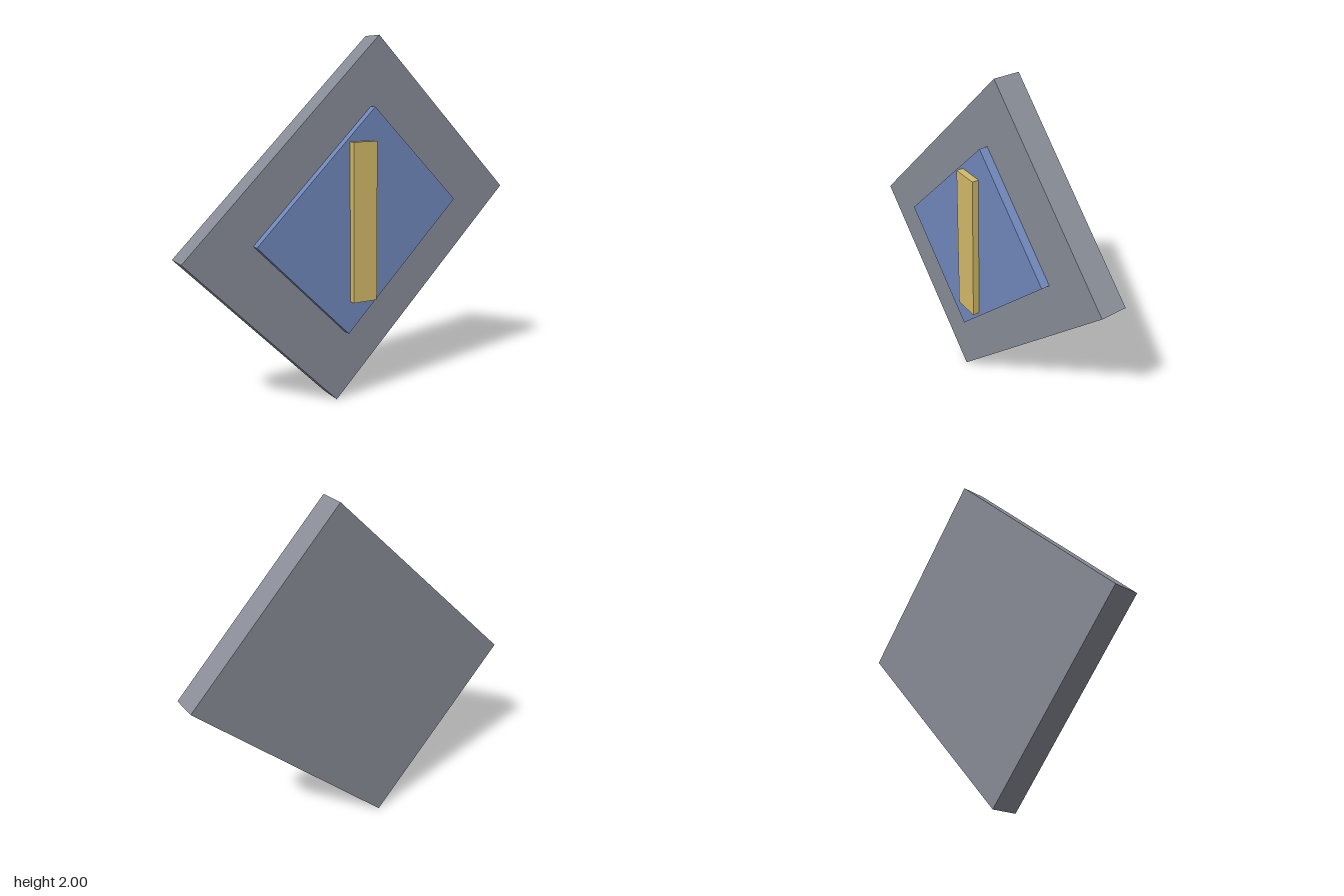
import * as THREE from 'three';

// Box centred at height y, spanning back..front in z, turned about z
function slab(name, color, w, h, back, front, y, turn) {
  const mesh = new THREE.Mesh(
    new THREE.BoxGeometry(w, h, front - back),
    new THREE.MeshStandardMaterial({ color })
  );
  mesh.name = name;
  mesh.position.set(0, y, (back + front) / 2);
  mesh.rotation.z = turn;
  return mesh;
}

export function createModel() {
  const group = new THREE.Group();
  group.name = 'tiltedPanel';
  const tilt = Math.PI / 4;
  group.add(
    // thick backing plate standing on one corner
    slab('backPlate', 0x888c96, 1.604, 1.224, -0.115, 0.03, 1, tilt),
    // thinner inset panel on the front face
    slab('frontPanel', 0x7088bb, 0.99, 0.757, 0.03, 0.077, 1.003, tilt),
    // upright bar
    slab('uprightBar', 0xd2ba68, 0.146, 0.873, 0.077, 0.115, 1.003, 0)
  );
  return group;
}
